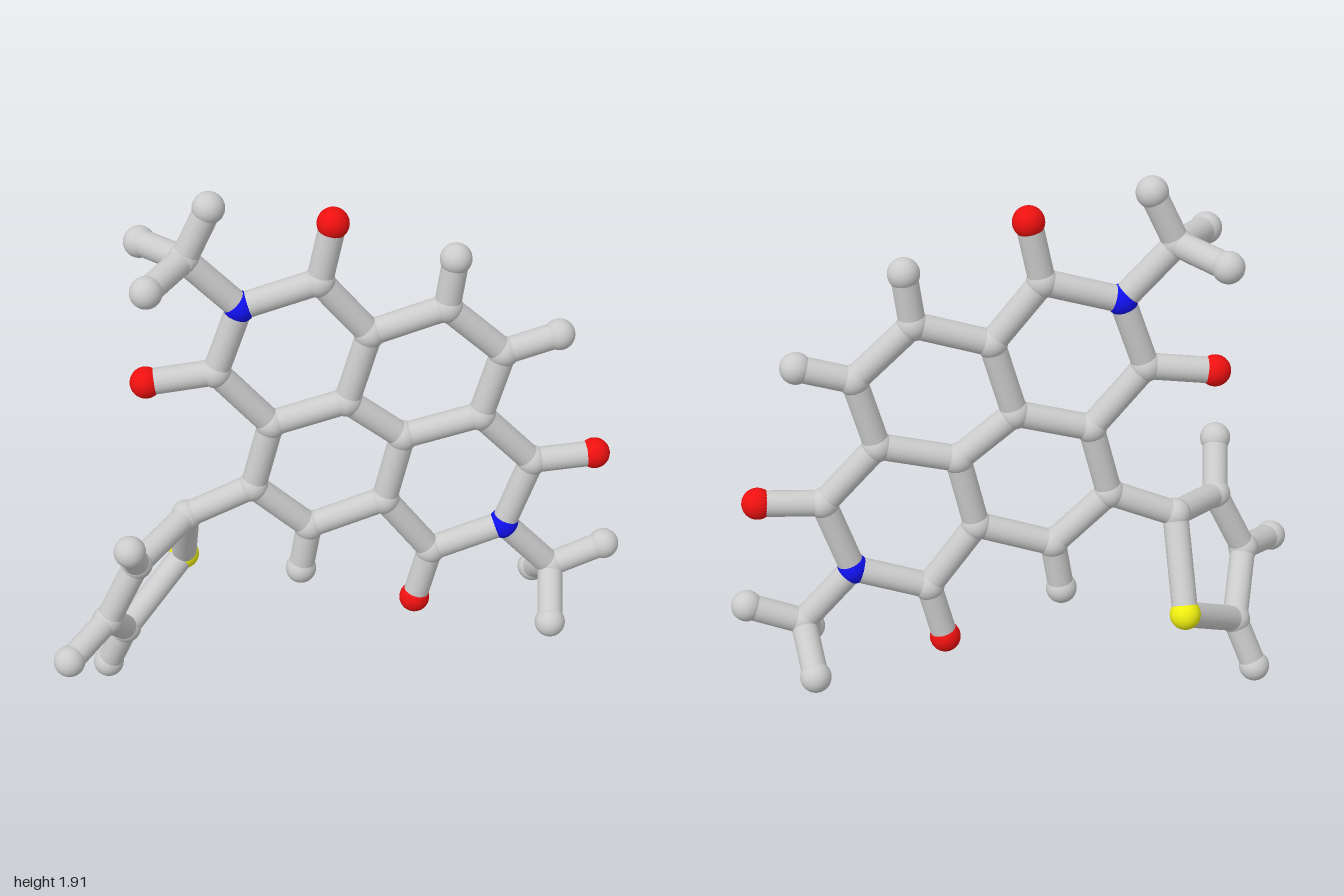
import * as THREE from 'three';

const ATOM_R = 0.053, BOND_R = 0.044;

// The fused rings lie in one nearly flat, slightly turned plane
const flat = (x, y) => [x, y, -0.078 + 0.02 * x];

const carbon = {
  c1: flat(-0.055, 1.565), c2: flat(0.11, 1.36), c3: flat(0.365, 1.44), c4: flat(0.56, 1.255),
  c5: flat(0.49, 1.01), c6: flat(0.225, 0.945), c7: flat(0.035, 1.1), c8: flat(-0.22, 1.03),
  c9: flat(-0.4, 1.245), c10: flat(-0.285, 0.78), c11: flat(-0.095, 0.6), c12: flat(0.165, 0.69),
  c13: flat(0.33, 0.465), c14: flat(0.675, 0.81),
  // methyl groups
  m1: flat(-0.49, 1.675), m2: flat(0.76, 0.36),
  // five-sided side ring
  t1: [-0.515, 0.68, -0.085], t2: [-0.7, 0.635, 0.11], t3: [-0.81, 0.41, 0.112], t4: [-0.745, 0.23, -0.07],
};
const hydrogen = {
  h3: flat(0.39, 1.62), h4: flat(0.745, 1.31), h11: flat(-0.125, 0.42),
  ma: flat(-0.405, 1.855), mb: [-0.62, 1.655, -0.26], mc: [-0.622, 1.655, 0.072],
  md: flat(0.947, 0.435), me: [0.735, 0.235, -0.225], mf: [0.73, 0.235, 0.105],
  s2: [-0.725, 0.785, 0.245], s3: [-0.948, 0.363, 0.258], s4: [-0.812, 0.054, -0.11],
};
const nitrogen = { n1: flat(-0.315, 1.488), n2: flat(0.585, 0.553) };
const oxygen = {
  o1: flat(-0.01, 1.775), o2: [-0.63, 1.217, -0.098], o3: flat(0.277, 0.258), o4: flat(0.892, 0.824),
};
const sulfur = { su: [-0.52, 0.387, -0.265] };

// Chains of bonded atoms
const chains = {
  coreBond: ['n1 c1 c2 c3 c4 c5 c6 c7 c8 c9 n1', 'c2 c7', 'c8 c10 c11 c12 c6', 'c12 c13 n2 c14 c5'],
  oxygenBond: ['c1 o1', 'c9 o2', 'c13 o3', 'c14 o4'],
  hydrogenBond: ['c3 h3', 'c4 h4', 'c11 h11', 't2 s2', 't3 s3', 't4 s4'],
  methylBond: ['n1 m1 ma', 'm1 mb', 'm1 mc', 'n2 m2 md', 'm2 me', 'm2 mf'],
  sideRingBond: ['c10 t1 t2 t3 t4 su t1'],
};

export function createModel() {
  const model = new THREE.Group();
  const grey = new THREE.MeshStandardMaterial({ color: 0xcccccc });
  const coloured = (color) => new THREE.MeshStandardMaterial({ color });
  const ball = new THREE.SphereGeometry(ATOM_R, 28, 20);
  const rod = new THREE.CylinderGeometry(BOND_R, BOND_R, 1, 24, 1, true);
  const up = new THREE.Vector3(0, 1, 0);
  const points = {};

  // Atoms
  const addAtoms = (name, atoms, material) => {
    const group = new THREE.Group();
    group.name = name + 's';
    for (const [key, p] of Object.entries(atoms)) {
      points[key] = new THREE.Vector3(...p);
      const mesh = new THREE.Mesh(ball, material);
      mesh.name = name;
      mesh.position.copy(points[key]);
      group.add(mesh);
    }
    model.add(group);
  };
  addAtoms('carbonAtom', carbon, grey);
  addAtoms('hydrogenAtom', hydrogen, grey);
  addAtoms('nitrogenAtom', nitrogen, coloured(0x1010ee));
  addAtoms('oxygenAtom', oxygen, coloured(0xee1010));
  addAtoms('sulfurAtom', sulfur, coloured(0xeeee10));

  // Bonds: one rod between each pair of neighbours along a chain
  for (const [name, list] of Object.entries(chains)) {
    const group = new THREE.Group();
    group.name = name + 's';
    for (const chain of list) {
      const keys = chain.split(' ');
      for (let i = 1; i < keys.length; i++) {
        const a = points[keys[i - 1]], b = points[keys[i]];
        const dir = b.clone().sub(a);
        const mesh = new THREE.Mesh(rod, grey);
        mesh.name = name;
        mesh.position.copy(a).add(b).multiplyScalar(0.5);
        mesh.scale.y = dir.length();
        mesh.quaternion.setFromUnitVectors(up, dir.normalize());
        group.add(mesh);
      }
    }
    model.add(group);
  }
  return model;
}
